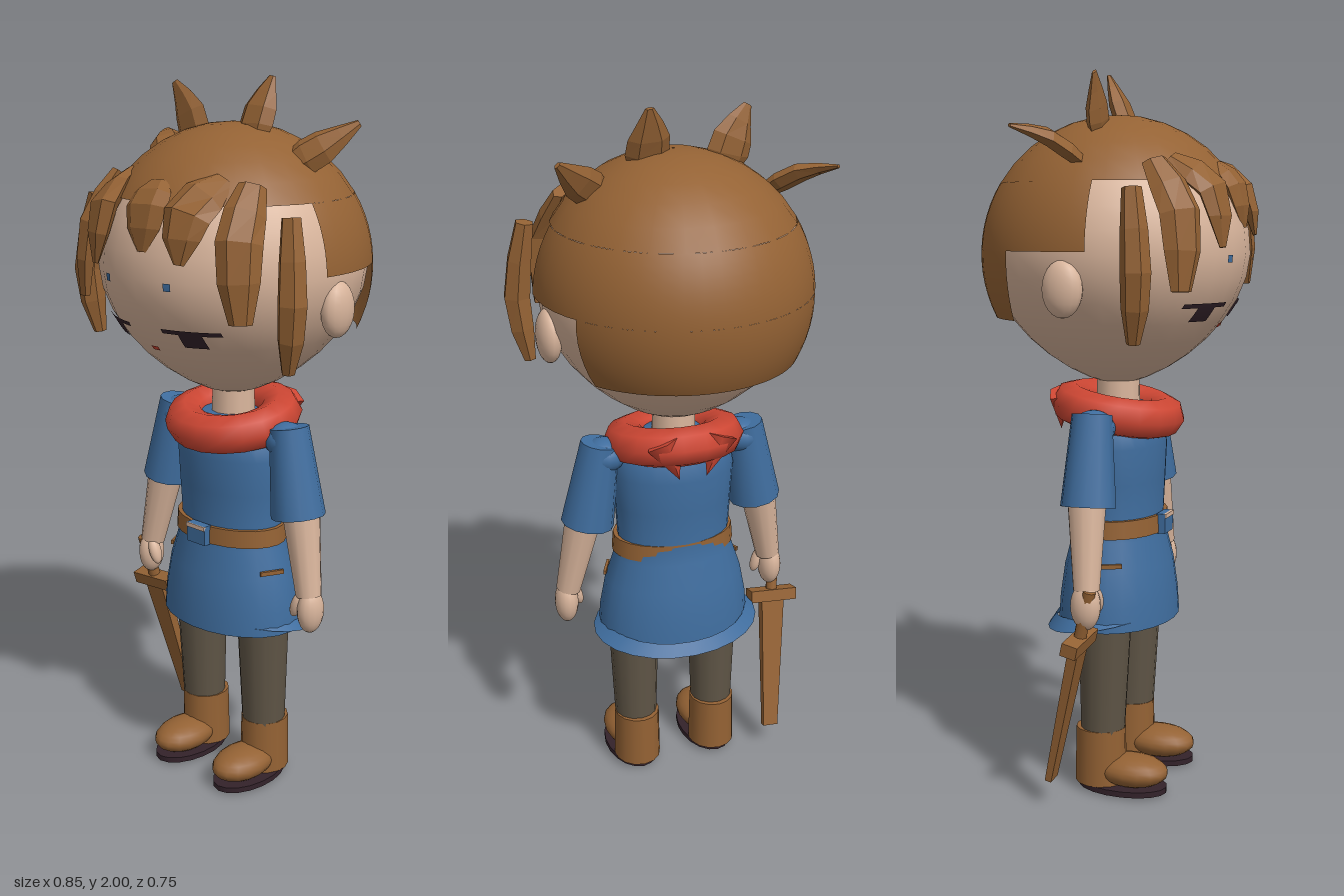
import * as THREE from 'three';
import { ParametricGeometry } from 'three/addons/geometries/ParametricGeometry.js';

const mat = (name, color, side = THREE.FrontSide) => {
  const m = new THREE.MeshStandardMaterial({ color, side });
  m.name = name;
  return m;
};
const V = (x, y, z) => new THREE.Vector3(x, y, z);

export function createModel() {
  const root = new THREE.Group();
  root.name = 'adventurer';
  const skin = mat('skin', 0xd9b59c);
  const brown = mat('brown', 0x946234, THREE.DoubleSide);
  const blue = mat('blue', 0x3f6d9e, THREE.DoubleSide);
  const red = mat('red', 0xcc4633);
  const grey = mat('trouserGrey', 0x5f5546);
  const dark = mat('dark', 0x33222a, THREE.DoubleSide);

  const add = (name, geo, material, pos = [0, 0, 0], scale = [1, 1, 1], parent = root) => {
    const m = new THREE.Mesh(geo, material);
    m.name = name;
    m.position.set(...pos);
    m.scale.set(...scale);
    parent.add(m);
    return m;
  };
  const ball = (name, material, pos, scale, parent) =>
    add(name, new THREE.SphereGeometry(1, 16, 12), material, pos, scale, parent);
  // tapered round limb from a to b
  const limb = (name, material, a, b, ra, rb, sides = 12) => {
    const d = b.clone().sub(a);
    const m = add(name, new THREE.CylinderGeometry(rb, ra, d.length(), sides), material,
      a.clone().add(b).multiplyScalar(0.5).toArray());
    m.quaternion.setFromUnitVectors(V(0, 1, 0), d.normalize());
    return m;
  };

  // Head: round skull tapering to the chin
  const headR = y => {
    const t = Math.min(1, Math.abs(y - 1.51) / 0.365);
    return 0.366 * (y > 1.51 ? Math.sqrt(1 - t * t) : Math.pow(1 - Math.pow(t, 1.8), 0.65));
  };
  const headPts = [];
  for (let i = 0; i <= 18; i++) {
    const y = 1.51 - 0.365 * Math.cos(Math.PI * i / 18);
    headPts.push(new THREE.Vector2(headR(y), y));
  }
  add('head', new THREE.LatheGeometry(headPts, 28), skin);
  add('neck', new THREE.CylinderGeometry(0.06, 0.065, 0.14, 12), skin, [0, 1.1, 0]);

  // Face details wrapped onto the head
  const faceMark = (name, material, x0, x1, y0, y1) => {
    const g = new THREE.PlaneGeometry(x1 - x0, y1 - y0, 8, 4);
    g.translate((x0 + x1) / 2, (y0 + y1) / 2, 0);
    const p = g.attributes.position;
    for (let i = 0; i < p.count; i++) {
      const r = headR(p.getY(i)) + 0.006;
      p.setZ(i, Math.sqrt(r * r - p.getX(i) ** 2));
    }
    g.computeVertexNormals();
    add(name, g, material);
  };
  for (const s of [-1, 1]) {
    const mark = (name, m, a, b, y0, y1) => faceMark(name, m, Math.min(s * a, s * b), Math.max(s * a, s * b), y0, y1);
    mark('lashLine', dark, 0.06, 0.21, 1.372, 1.384);
    mark('pupil', dark, 0.105, 0.165, 1.335, 1.373);
    mark('eyeGlint', blue, 0.1, 0.12, 1.49, 1.51);
    ball('ear', skin, [s * 0.355, 1.425, -0.02], [0.035, 0.075, 0.056]);
  }
  faceMark('mouth', red, -0.013, 0.013, 1.312, 1.324);

  // Hair cap: bands of a sphere, each cut off at a plane of constant z
  const hairBand = (yTop, yLow, zCut) => {
    const R = 0.38, cy = 1.505;
    const th = y => Math.acos(Math.min(0.99995, (y - cy) / R));
    const t0 = th(yTop), t1 = th(yLow);
    add('hairCap', new ParametricGeometry((u, v, out) => {
      const t = t0 + (t1 - t0) * v, r = R * Math.sin(t);
      const lim = zCut >= r ? Math.PI : Math.acos(-zCut / r);
      const a = lim * (2 * u - 1);
      out.set(r * Math.sin(a), cy + R * Math.cos(t), -r * Math.cos(a));
    }, 24, 6), brown);
  };
  hairBand(1.885, 1.7, 1);
  hairBand(1.7, 1.52, 0.05);
  hairBand(1.52, 1.335, -0.19);

  // Faceted tufts: six-sided sections swept along a bent path
  const tuft = (name, pts, width, thick, out, sizes = [0.45, 0.9, 1, 0.8, 0.22]) => {
    const curve = new THREE.CatmullRomCurve3(pts), pos = [], idx = [], n = 6, k = sizes.length;
    sizes.forEach((f, i) => {
      const c = curve.getPoint(i / (k - 1)), T = curve.getTangent(i / (k - 1));
      const S = T.clone().cross(out).normalize(), N = S.clone().cross(T);
      for (let j = 0; j < n; j++) {
        const a = 2 * Math.PI * j / n;
        pos.push(...c.clone().addScaledVector(S, Math.cos(a) * width * f)
          .addScaledVector(N, Math.sin(a) * thick * f).toArray());
        const q = i * n + j, r = i * n + (j + 1) % n;
        if (i < k - 1) idx.push(q, r, q + n, r, r + n, q + n);
      }
    });
    for (let j = 1; j < n - 1; j++) {
      const e = (k - 1) * n;
      idx.push(0, j + 1, j, e, e + j, e + j + 1);
    }
    const g = new THREE.BufferGeometry();
    g.setAttribute('position', new THREE.Float32BufferAttribute(pos, 3));
    g.setIndex(idx);
    const flat = g.toNonIndexed();
    flat.computeVertexNormals();
    add(name, flat, brown);
  };
  tuft('fringe', [V(-0.17, 1.76, 0.21), V(-0.16, 1.68, 0.32), V(-0.165, 1.53, 0.35)], 0.065, 0.028, V(-0.3, 0.3, 1));
  tuft('fringe', [V(0.01, 1.75, 0.28), V(0.015, 1.69, 0.33), V(0.02, 1.58, 0.355)], 0.075, 0.025, V(0, 0.3, 1));
  tuft('fringe', [V(0.17, 1.76, 0.21), V(0.15, 1.68, 0.32), V(0.15, 1.56, 0.35)], 0.068, 0.028, V(0.3, 0.3, 1));
  for (const s of [-1, 1]) {
    tuft('templeLock', [V(s * 0.25, 1.75, 0.19), V(s * 0.28, 1.62, 0.27), V(s * 0.295, 1.42, 0.28)], 0.06, 0.03, V(s * 0.7, 0.1, 0.8), [0.6, 0.9, 1, 0.9, 0.5]);
    tuft('sideLock', [V(s * 0.36, 1.68, 0.17), V(s * 0.385, 1.47, 0.19), V(s * 0.36, 1.29, 0.175)], 0.04, 0.04, V(s, 0, 0.2), [0.65, 0.9, 1, 0.9, 0.45]);
  }
  const spike = [0.7, 1, 0.95, 0.6, 0.2];
  tuft('crownSpike', [V(-0.25, 1.75, -0.01), V(-0.33, 1.81, -0.07), V(-0.405, 1.835, -0.14)], 0.055, 0.025, V(-0.3, 1, 0.1), spike);
  tuft('crownSpike', [V(-0.14, 1.82, 0), V(-0.165, 1.9, 0), V(-0.21, 1.98, 0.012)], 0.06, 0.024, V(0, 0, 1), spike);
  tuft('crownSpike', [V(0.075, 1.83, 0.01), V(0.075, 1.92, -0.025), V(0.085, 2, -0.06)], 0.06, 0.026, V(0, 0.2, 1), spike);
  tuft('crownSpike', [V(0.2, 1.78, 0), V(0.27, 1.83, -0.05), V(0.34, 1.89, -0.11)], 0.05, 0.028, V(0.2, 0.3, 1), spike);

  // Scarf: tilted thick ring with two short tails at the back
  const scarf = add('scarf', new THREE.TorusGeometry(0.138, 0.062, 8, 18), red, [0, 1.075, 0], [1, 0.95, 0.9]);
  scarf.rotation.x = Math.PI / 2 + 0.17;
  for (const s of [-1, 1]) {
    const tail = add('scarfTail', new THREE.ConeGeometry(0.055, 0.12, 5), red, [s * 0.06, 1.07, -0.15], [1, 1, 0.6]);
    tail.rotation.set(Math.PI + 0.15, 0, s * 0.35);
  }

  // Tunic with flared skirt, hem and belt
  const tunic = [[0.228, 0.48], [0.222, 0.55], [0.205, 0.64], [0.178, 0.72], [0.166, 0.78], [0.172, 0.88],
    [0.178, 0.98], [0.165, 1.05], [0.12, 1.09], [0, 1.1]].map(p => new THREE.Vector2(...p));
  add('tunic', new THREE.LatheGeometry(tunic, 24), blue, [0, 0, 0.005], [1, 1, 0.72]);
  const hem = add('hem', new THREE.CylinderGeometry(0.21, 0.25, 0.03, 24, 1, true), blue, [0, 0.5, -0.02], [1, 1, 0.7]);
  hem.rotation.x = -0.17;
  add('belt', new THREE.CylinderGeometry(0.178, 0.182, 0.05, 24), brown, [0, 0.758, 0.01], [1, 1, 0.7]);
  add('buckle', new THREE.BoxGeometry(0.07, 0.056, 0.025), blue, [0, 0.758, 0.14]);
  add('buckleTrim', new THREE.BoxGeometry(0.07, 0.012, 0.008), skin, [0, 0.78, 0.152]);

  for (const s of [-1, 1]) {
    const slit = add('pocketSlit', new THREE.BoxGeometry(0.008, 0.012, 0.07), brown, [s * 0.193, 0.663, 0.045]);
    slit.rotation.y = -s * 0.45;

    // Arm
    limb('sleeve', blue, V(s * 0.215, 1.085, 0.005), V(s * 0.257, 0.84, 0.01), 0.055, 0.076);
    ball('shoulder', blue, [s * 0.205, 1.045, 0.005], [0.062, 0.05, 0.06]);
    limb('forearm', skin, V(s * 0.265, 0.87, 0.01), V(s * 0.315, 0.625, 0.028), 0.054, 0.036);
    ball('hand', skin, [s * 0.322, 0.585, 0.028], [0.034, 0.066, 0.042]);
    const thumb = ball('thumb', skin, [s * 0.288, 0.598, 0.045], [0.017, 0.042, 0.02]);
    thumb.rotation.z = -s * 0.35;

    // Leg and boot
    limb('leg', grey, V(s * 0.125, 0.62, 0.01), V(s * 0.123, 0.15, 0), 0.08, 0.062, 14);
    const boot = new THREE.Group();
    boot.name = 'boot';
    boot.position.x = s * 0.122;
    root.add(boot);
    add('bootShaft', new THREE.CylinderGeometry(0.067, 0.07, 0.16, 14), brown, [0, 0.1, -0.006], [1, 1, 1.06], boot);
    ball('toe', brown, [0, 0.06, 0.085], [0.073, 0.046, 0.108], boot);
    add('sole', new THREE.CylinderGeometry(1, 1, 0.016, 18), dark, [0, 0.013, 0.06], [0.077, 1, 0.13], boot);
    add('solePatch', new THREE.CylinderGeometry(1, 1, 0.008, 14), brown, [0, 0.004, 0.06], [0.045, 1, 0.085], boot);
  }

  // Wooden sword held in the right hand, pointing down and back
  const sword = new THREE.Group();
  sword.name = 'sword';
  sword.position.set(-0.325, 0.485, 0.01);
  sword.quaternion.setFromUnitVectors(V(0, -1, 0), V(0.037, -0.41, -0.1).normalize());
  root.add(sword);
  add('guard', new THREE.BoxGeometry(0.148, 0.036, 0.045), brown, [0, 0, 0], [1, 1, 1], sword);
  add('grip', new THREE.CylinderGeometry(0.018, 0.018, 0.16, 8), brown, [0, 0.07, 0], [1, 1, 1], sword);
  const bladeGeo = new THREE.CylinderGeometry(0.052, 0.033, 0.42, 4).rotateY(Math.PI / 4).toNonIndexed();
  bladeGeo.computeVertexNormals();
  add('blade', bladeGeo, brown, [0, -0.215, 0], [1, 1, 0.4], sword);

  return root;
}
